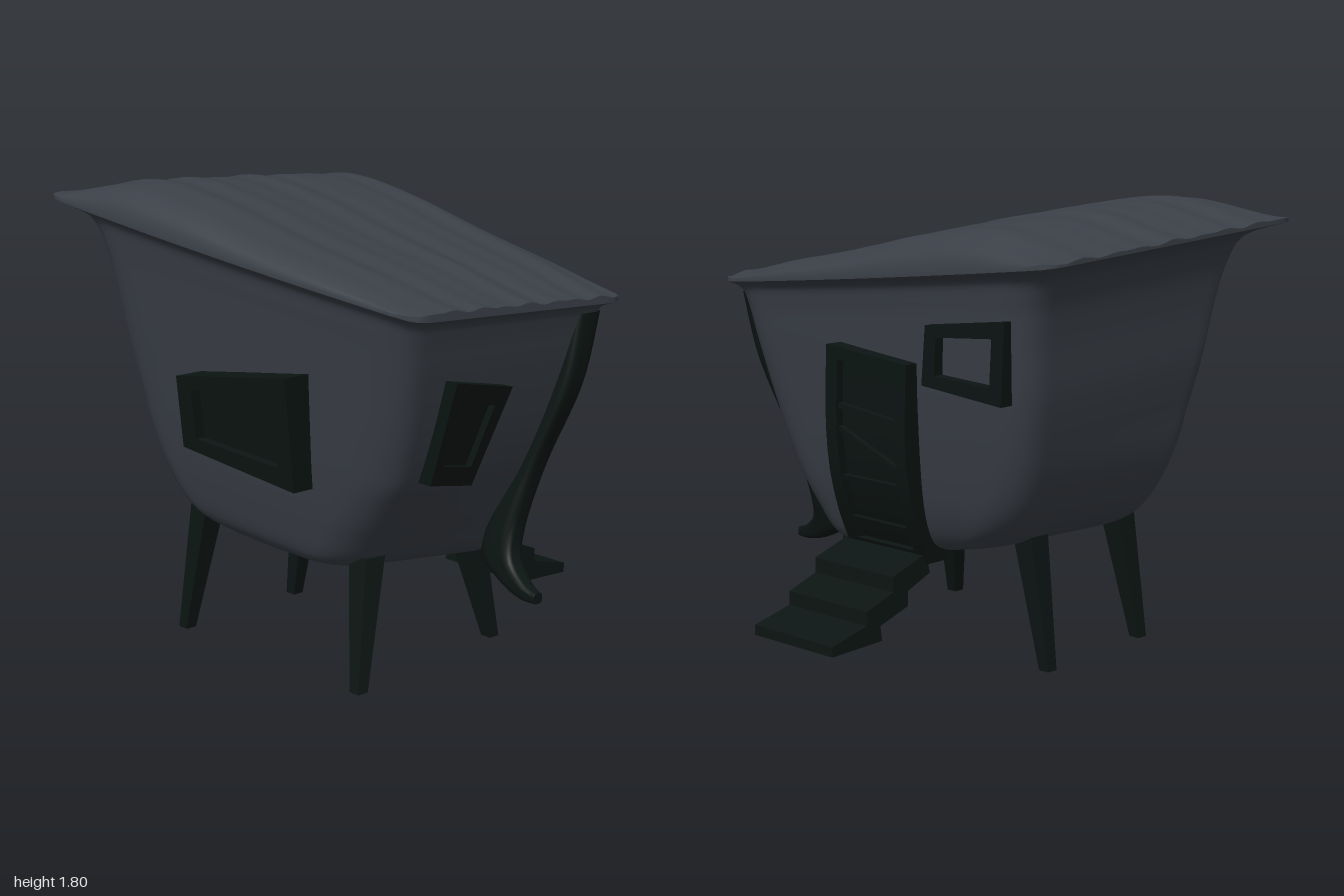
import * as THREE from 'three';
import { toCreasedNormals } from 'three/addons/utils/BufferGeometryUtils.js';

const wallMat = new THREE.MeshStandardMaterial({ color: 0x3b4048 });
const trimMat = new THREE.MeshStandardMaterial({ color: 0x0c1513 });
const { lerp, clamp } = THREE.MathUtils;
const V = (x, y, z) => new THREE.Vector3(x, y, z);
const spline = pts => new THREE.SplineCurve(pts.map(p => new THREE.Vector2(...p)));

function add(parent, name, geo, mat) {
  const m = new THREE.Mesh(geo, mat);
  m.name = name;
  parent.add(m);
  return m;
}

// Skin a stack of equal-sized closed rings, running from x towards z around each ring
function loft(rings) {
  const n = rings[0].length, pos = [], idx = [];
  rings.forEach(r => r.forEach(p => pos.push(p.x, p.y, p.z)));
  for (let i = 0; i < rings.length - 1; i++) for (let j = 0; j < n; j++) {
    const a = i * n + j, b = i * n + (j + 1) % n;
    idx.push(a, a + n, b, b, a + n, b + n);
  }
  const g = new THREE.BufferGeometry();
  g.setAttribute('position', new THREE.Float32BufferAttribute(pos, 3));
  g.setIndex(idx);
  g.computeVertexNormals();
  return g;
}

// Rounded square of half size 1 with corner radius r
function roundSquare(n, r) {
  return Array.from({ length: n }, (_, i) => {
    const t = (i + 0.5) / n * Math.PI * 2, c = Math.cos(t), s = Math.sin(t);
    const m = Math.max(Math.abs(c), Math.abs(s));
    const p = new THREE.Vector2(c / m, s / m);
    const q = p.clone().clampScalar(-(1 - r), 1 - r);
    return q.clone().add(p.sub(q).normalize().multiplyScalar(r));
  });
}

// Hull levels: yFront, yBack, zFront, zBack, leftFront, leftBack, rightFront, rightBack
const levels = [
  [0.385, 0.475, 0.40, -0.25, -0.44, -0.50, 0.16, 0.20],
  [0.42, 0.54, 0.55, -0.43, -0.51, -0.57, 0.24, 0.28],
  [0.55, 0.66, 0.63, -0.55, -0.54, -0.61, 0.28, 0.34],
  [0.70, 0.85, 0.70, -0.64, -0.56, -0.645, 0.31, 0.38],
  [0.95, 1.12, 0.80, -0.71, -0.59, -0.68, 0.33, 0.42],
  [1.20, 1.36, 0.88, -0.745, -0.62, -0.71, 0.35, 0.445],
  [1.35, 1.52, 0.92, -0.78, -0.64, -0.73, 0.36, 0.46],
  [1.415, 1.625, 0.945, -0.84, -0.65, -0.75, 0.37, 0.49],
  [1.44, 1.68, 1.00, -0.995, -0.67, -0.81, 0.39, 0.615],
];
const tracks = levels[0].map((_, k) => spline(levels.map((l, i) => [i, l[k]])));
const levelAt = t => tracks.map(c => c.getPoint(t).y);
const N = 160, KEEL_RADIUS = 0.45, RIM_RADIUS = 0.09;

// Point on a hull level; px, pz run from -1 to 1. The keel is skewed backwards on the -x side
function hullPoint(l, px, pz) {
  const u = (1 - pz) / 2, f = 1 - (1 - u) ** 2;
  const x = lerp(lerp(l[4], l[5], f), lerp(l[6], l[7], f), (px + 1) / 2);
  const skew = clamp(1 - (l[0] - 0.38) / 0.4, 0, 1) * (1 - px) / 2;
  return V(x, lerp(l[0], l[1], u) - 0.05 * (x + 0.1) - 0.05 * u * skew,
    lerp(l[2], l[3], u) - skew * lerp(0.14, 0.04, u));
}

function hull() {
  const rings = [], M = 48;
  for (const s of [0, 0.5, 0.9]) {
    rings.push(roundSquare(N, KEEL_RADIUS).map(p => hullPoint(levels[0], p.x * s, p.y * s)));
  }
  for (let i = 0; i <= M; i++) {
    const t = i / M, l = levelAt(t);
    rings.push(roundSquare(N, lerp(KEEL_RADIUS, RIM_RADIUS, Math.sqrt(t))).map(p => hullPoint(l, p.x, p.y)));
  }
  return loft(rings);
}

// Roof: steep sloping shell with rounded sides, thin ends and shallow ripples along its length
const crown = spline([[1, 1.468], [0.6, 1.553], [0.2, 1.632], [-0.2, 1.725], [-0.6, 1.772], [-1, 1.695]]);
function roof() {
  const rim = levels[8], loop = roundSquare(N, RIM_RADIUS);
  const ring = (s, top) => loop.map(q => {
    const px = q.x * s, p = hullPoint(rim, px, q.y * s);
    if (!top) return p;
    const ripple = 0.0035 * (Math.sin(px * 27) + Math.sin(px * 17 + 1));
    const c = crown.getPoint(clamp((1 - p.z) / 2, 0, 1)).y - 0.055 * (p.x + 0.1);
    const round = Math.sqrt(Math.max(0, 1 - Math.abs(px) ** 8));
    p.y = lerp(p.y + 0.015, c, round) + ripple;
    return p;
  });
  const rings = [ring(1, false), ring(1, true)];
  for (const s of [0.99, 0.975, 0.95, 0.92]) rings.push(ring(s, true));
  for (let i = 22; i >= 0; i--) rings.push(ring(i / 25, true));
  return toCreasedNormals(loft(rings), 0.9);
}

// Corner post: centre x, y, z, half width, then half depth as y and z
function post() {
  const rows = [
    [0.28, 1.38, 0.90, 0.06, 0, 0.04], [0.235, 1.10, 0.865, 0.055, 0.01, 0.045],
    [0.18, 0.80, 0.755, 0.05, 0.02, 0.05], [0.14, 0.62, 0.69, 0.05, 0.02, 0.07],
    [0.11, 0.47, 0.665, 0.052, 0.05, 0.08], [0.08, 0.385, 0.735, 0.045, 0.045, 0.03],
    [0.05, 0.335, 0.84, 0.035, 0.03, 0.01], [0.04, 0.32, 0.92, 0.022, 0.02, 0],
  ];
  const tr = rows[0].map((_, k) => spline(rows.map((r, i) => [i, r[k]])));
  const shape = roundSquare(24, 0.5), rings = [];
  const ring = (t, s) => {
    const [x, y, z, w, dy, dz] = tr.map(c => c.getPoint(t).y);
    return shape.map(p => V(x + p.x * w * s, y + p.y * dy * s, z + p.y * dz * s));
  };
  rings.push(ring(1, 0));
  for (let i = 32; i >= 0; i--) rings.push(ring(i / 32, 1));
  rings.push(ring(0, 0));
  return toCreasedNormals(loft(rings), 0.9);
}

// Tapered square leg from foot to top
function leg(top, foot) {
  const ring = (c, w) => [[1, 1], [-1, 1], [-1, -1], [1, -1]].map(([a, b]) => V(c.x + a * w, c.y, c.z + b * w));
  const g = loft([ring(foot, 0), ring(foot, 0.024), ring(top, 0.048), ring(top, 0)]);
  return toCreasedNormals(g, 0.5);
}

// Box laid on a wall: quad is [TL, TR, BL, BR] seen from outside, place(h, y, c) puts it in space
function slab(quad, place, [a0, a1], [b0, b1, b2 = b0, b3 = b1], [c0, c1]) {
  const g = new THREE.BoxGeometry(1, 1, 1, 1, 10, 1), p = g.attributes.position;
  const [TL, TR, BL, BR] = quad;
  for (let i = 0; i < p.count; i++) {
    const s = p.getX(i) + 0.5, a = lerp(a0, a1, s);
    const b = lerp(lerp(b0, b2, s), lerp(b1, b3, s), p.getY(i) + 0.5);
    const at = k => lerp(lerp(BL[k], BR[k], a), lerp(TL[k], TR[k], a), b);
    const v = place(at(0), at(1), lerp(c0, c1, p.getZ(i) + 0.5));
    p.setXYZ(i, v.x, v.y, v.z);
  }
  return toCreasedNormals(g, 0.5);
}

// Four-sided frame with border widths in quad units, and an optional pane set back inside
function framed(parent, name, quad, place, [wa, wb], depth, pane) {
  const g = new THREE.Group();
  g.name = name;
  parent.add(g);
  const bar = (a, b, c = depth) => add(g, name + 'Bar', slab(quad, place, a, b, c), trimMat);
  bar([0, wa], [0, 1]);
  bar([1 - wa, 1], [0, 1]);
  bar([wa, 1 - wa], [0, wb]);
  bar([wa, 1 - wa], [1 - wb, 1]);
  if (pane) bar([wa, 1 - wa], [wb, 1 - wb], pane);
  return bar;
}

export function createModel() {
  const g = new THREE.Group();
  g.name = 'stiltHut';
  add(g, 'hullWalls', hull(), wallMat);
  add(g, 'roof', roof(), wallMat);
  add(g, 'cornerPost', post(), trimMat);

  // Legs
  [['frontRightLeg', V(-0.40, 0.475, 0.455), V(-0.555, 0.005, 0.58)],
    ['frontLeftLeg', V(0.14, 0.42, 0.45), V(0.21, 0.03, 0.505)],
    ['backRightLeg', V(-0.49, 0.52, -0.39), V(-0.56, 0, -0.45)],
    ['backLeftLeg', V(0.045, 0.53, -0.40), V(0.045, 0, -0.495)],
  ].forEach(([n, t, f]) => add(g, n, leg(t, f), trimMat));

  // Door curved to follow the hull side, with crooked cross bars
  const doorCurve = spline([[0.35, 0.23], [0.5, 0.32], [0.7, 0.385], [0.9, 0.418], [1.1, 0.43], [1.3, 0.435]]);
  const onDoor = (z, y, c) => V(doorCurve.getPoint((y - 0.35) / 0.95).y + c, y, z);
  const doorQuad = [[0.27, 1.245], [-0.165, 1.21], [0.335, 0.40], [-0.10, 0.40]];
  const bar = framed(g, 'door', doorQuad, onDoor, [0.14, 0.06], [-0.06, 0.05], [-0.06, 0.015]);
  for (const [l, r] of [[0.15, 0.15], [0.36, 0.37], [0.6, 0.46], [0.71, 0.69]]) {
    bar([0.14, 0.86], [l, l + 0.025, r, r + 0.025], [0, 0.04]);
  }

  // Windows
  framed(g, 'sideWindow', [[-0.265, 1.37], [-0.665, 1.42], [-0.235, 1.14], [-0.635, 1.105]],
    (z, y, c) => V(0.435 + 0.05 * (y - 1.2) + c, y, z), [0.15, 0.2], [-0.06, 0.04]);
  framed(g, 'frontWindow', [[-0.41, 1.215], [-0.11, 1.155], [-0.41, 0.815], [-0.19, 0.775]],
    (x, y, c) => V(x, y, 0.80 + 0.33 * (y - 0.95) + c), [0.19, 0.19], [-0.05, 0.05], [-0.05, 0.02]);
  framed(g, 'farSideWindow', [[-0.17, 1.12], [0.42, 1.2], [-0.2, 0.83], [0.37, 0.75]],
    (z, y, c) => V(-0.70 + 0.09 * (z + 0.17) - 0.19 * (y - 1.1) - c, y, z),
    [0.13, 0.18], [-0.02, 0.10], [-0.02, 0.06]);

  // Three sagging steps
  const outline = [[0.28, 0.36], [0.40, 0.31], [0.40, 0.25], [0.55, 0.20], [0.54, 0.14], [0.80, 0.13],
    [0.80, 0.17], [0.62, 0.215], [0.62, 0.27], [0.48, 0.32], [0.48, 0.38], [0.30, 0.44]];
  const steps = new THREE.ExtrudeGeometry(new THREE.Shape(outline.map(p => new THREE.Vector2(...p))),
    { depth: 0.44, bevelEnabled: false });
  add(g, 'steps', steps.translate(0, 0, -0.087), trimMat);
  return g;
}
